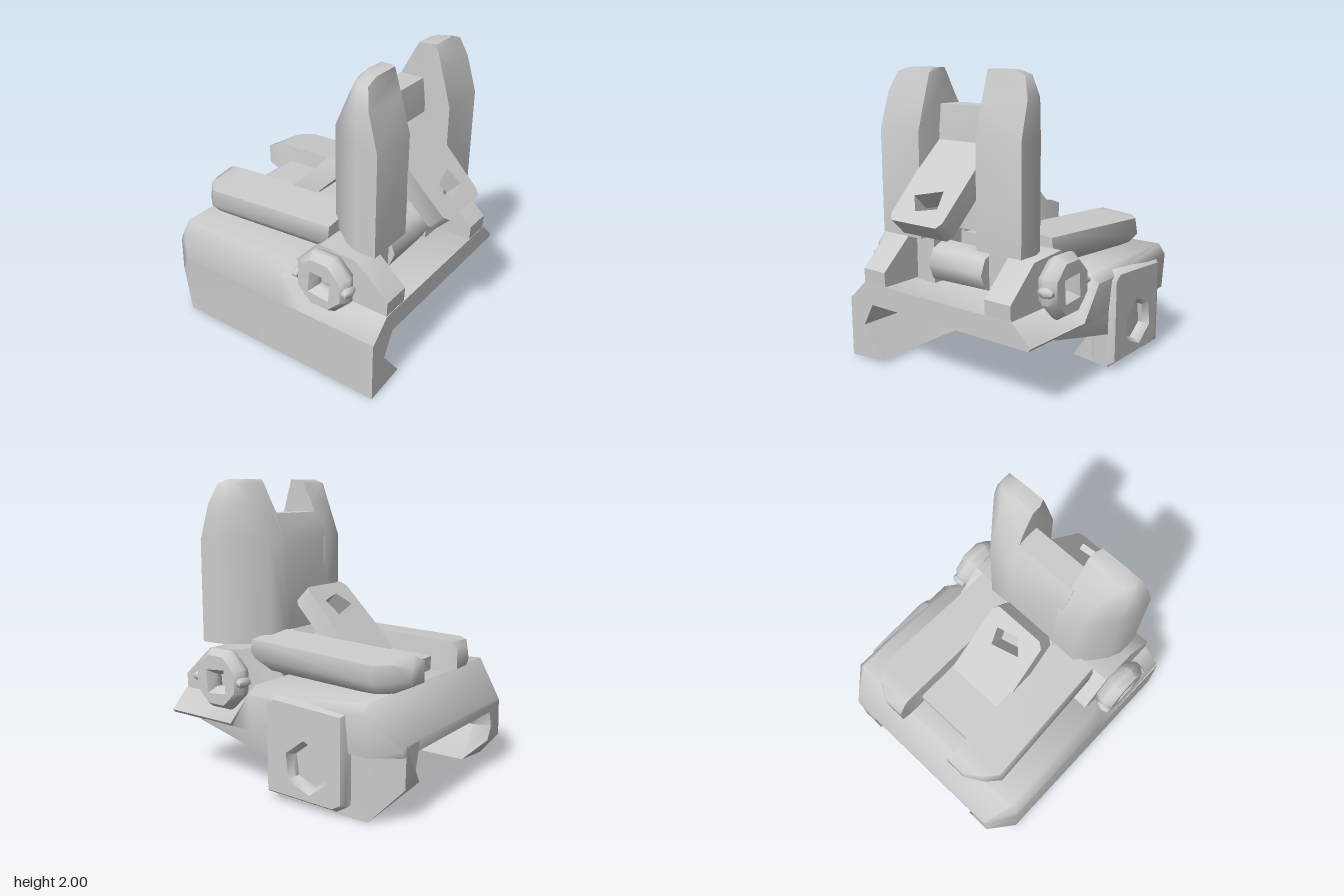
import * as THREE from 'three';
import { toCreasedNormals } from 'three/addons/utils/BufferGeometryUtils.js';

const material = new THREE.MeshStandardMaterial({ color: 0xcccccc, side: THREE.DoubleSide });

function addPart(parent, name, geometry, crease = 0.8) {
  const mesh = new THREE.Mesh(toCreasedNormals(geometry, crease), material);
  mesh.name = name;
  parent.add(mesh);
  return mesh;
}

// Skin a row of matching cross-sections: [[t, [[a, b], ...]], ...]
// axis 'x': a = z, b = y.   axis 'y': a = x, b = z.
function loft(sections, axis) {
  const n = sections[0][1].length, pos = [], index = [];
  for (const [t, ring] of sections)
    for (const [a, b] of ring) pos.push(...(axis === 'x' ? [t, b, a] : [a, t, b]));
  for (let s = 0; s < sections.length - 1; s++)
    for (let i = 0; i < n; i++) {
      const a = s * n + i, b = s * n + (i + 1) % n;
      index.push(a, b, b + n, a, b + n, a + n);
    }
  // End caps, wound to agree with the sides
  const area = (r) => THREE.ShapeUtils.area(r);
  for (const s of [0, sections.length - 1]) {
    const pts = toVec(sections[s][1]);
    const sideSign = area(pts) > 0;
    for (const [i, j, k] of THREE.ShapeUtils.triangulateShape(pts, [])) {
      const same = (area([pts[i], pts[j], pts[k]]) > 0) === sideSign;
      const keep = same === (s !== 0);
      index.push(s * n + i, s * n + (keep ? j : k), s * n + (keep ? k : j));
    }
  }
  // Turn the whole skin outward if its signed volume is negative
  const v = (i) => new THREE.Vector3().fromArray(pos, i * 3);
  let volume = 0;
  for (let i = 0; i < index.length; i += 3)
    volume += v(index[i]).dot(v(index[i + 1]).cross(v(index[i + 2])));
  if (volume < 0) index.reverse();
  const g = new THREE.BufferGeometry();
  g.setAttribute('position', new THREE.Float32BufferAttribute(pos, 3));
  g.setIndex(index);
  return g.toNonIndexed();
}

const toVec = (pts) => pts.map(([x, y]) => new THREE.Vector2(x, y));
const polygon = (n, r, cx, cy, turn = 0) => Array.from({ length: n }, (_, i) => {
  const a = turn + i / n * Math.PI * 2;
  return [cx + r * Math.cos(a), cy + r * Math.sin(a)];
});

// Flat outline with an optional hole, extruded with an optional steep bevel
function slab(outline, hole, depth, bevel = 0) {
  const shape = new THREE.Shape(toVec(outline));
  if (hole) shape.holes.push(new THREE.Path(toVec(hole)));
  return new THREE.ExtrudeGeometry(shape, {
    depth, bevelEnabled: bevel > 0, bevelSize: bevel, bevelThickness: bevel * 1.5,
    bevelOffset: -bevel, bevelSegments: 1,
  });
}

const side = (ring, s) => ring.map(([z, y]) => [z * s, y]);
const across = (ring, s) => ring.map(([x, z]) => [x, z * s]);

export function createModel() {
  const model = new THREE.Group();

  // Base deck: rounded nose, full top, low shelf at the hinge end
  const deck = (top, wTop, mid, wMid) => [
    [-wTop * 0.97, top], [-wMid * 0.97, mid], [-wMid * 0.95, 0.41],
    [wMid, 0.41], [wMid, mid], [wTop, top]];
  addPart(model, 'baseDeck', loft([
    [-0.97, deck(0.48, 0.66, 0.45, 0.67)],
    [-0.78, deck(0.73, 0.75, 0.66, 0.8)],
    [0.1, deck(0.7, 0.73, 0.65, 0.8)],
    [0.26, deck(0.56, 0.66, 0.43, 0.8)],
    [0.81, deck(0.56, 0.65, 0.43, 0.79)]], 'x'), 1.1);

  // Side skirts with an undercut inner face; one runs the full length
  const skirt = [[0.8, 0], [0.8, 0.43], [0.57, 0.43], [0.67, 0.25], [0.5, 0.03]];
  const skirtNose = [[0.68, 0.21], [0.67, 0.47], [0.5, 0.47], [0.55, 0.3], [0.5, 0.21]];
  for (const [s, end, name] of [[1, 0.81, 'longSkirt'], [-0.91, -0.1, 'shortSkirt']])
    addPart(model, name, loft([
      [-0.97, side(skirtNose, s)], [-0.78, side(skirt, s)], [end, side(skirt, s)]], 'x'), 1);
  // Wedge that fades the short skirt out towards the hinge
  addPart(model, 'skirtWedge', loft([
    [-0.1, [[-0.76, 0.43], [-0.5, 0.43], [-0.62, 0.25], [-0.76, 0.25]]],
    [0.55, [[-0.76, 0.43], [-0.6, 0.43], [-0.62, 0.4], [-0.75, 0.4]]]], 'x'));

  // Side block with a six-sided socket
  const socket = addPart(model, 'socketBlock', slab(
    [[-0.66, 0.08], [-0.58, 0.03], [-0.05, 0.04], [-0.05, 0.64], [-0.12, 0.69], [-0.66, 0.66]],
    polygon(6, 0.14, -0.38, 0.27, 0.4), 0.1, 0.027), 0.9);
  socket.position.z = -0.76;

  // Hinge cheeks, knobs, nubs and axle ends
  const cheek = [[0.1, 0.7], [0.26, 0.43], [0.8, 0.41], [0.81, 0.66], [0.58, 0.87], [0.3, 0.89]];
  for (const s of [1, -1]) {
    const hinge = new THREE.Group();
    hinge.name = s > 0 ? 'hingeLeft' : 'hingeRight';
    model.add(hinge);
    addPart(hinge, 'cheek', slab(cheek, null, 0.2)).position.z = s > 0 ? 0.45 : -0.62;
    const knob = addPart(hinge, 'knob', slab(
      polygon(8, 0.215, 0.39, 0.7, Math.PI / 8), polygon(4, 0.06, 0.39, 0.69, 0.7), 0.03, 0.037), 0.9);
    knob.position.z = s > 0 ? 0.705 : -0.715;
    for (const x of [0.2, 0.58]) {
      const nub = addPart(hinge, 'nub', new THREE.SphereGeometry(0.037, 6, 5).scale(1, 1, 1.7), 1.2);
      nub.position.set(x, 0.7, s > 0 ? 0.74 : -0.71);
    }
    const axle = addPart(hinge, 'axle', new THREE.CylinderGeometry(0.07, 0.07, 0.4, 8).rotateX(Math.PI / 2));
    axle.position.set(0.39, 0.7, s * 0.36);
    addPart(hinge, 'knuckle', new THREE.BoxGeometry(0.3, 0.4, 0.16)).position.set(0.4, 0.77, s * 0.32);
  }
  const barrel = addPart(model, 'barrel', new THREE.CylinderGeometry(0.15, 0.14, 0.45, 8).rotateX(Math.PI / 2), 0.9);
  barrel.position.set(0.45, 0.71, 0.02);

  // Lying jaw: two tapered prongs joined by a web
  const lying = [[0.22, 0.72], [0.52, 0.72], [0.59, 0.8], [0.57, 0.91], [0.24, 0.94]];
  const lyingRoot = [[0.2, 0.75], [0.48, 0.75], [0.55, 0.83], [0.53, 0.95], [0.22, 0.98]];
  const lyingNeck = [[0.22, 0.73], [0.46, 0.73], [0.51, 0.8], [0.49, 0.91], [0.24, 0.93]];
  const lyingTip = [[0.22, 0.76], [0.36, 0.76], [0.39, 0.8], [0.37, 0.88], [0.22, 0.9]];
  for (const s of [1, -1])
    addPart(model, 'lyingProng', loft([
      [-0.86, side(lyingTip, s)], [-0.79, side(lyingNeck, s)],
      [-0.7, side(lying, s)], [0.28, side(lyingRoot, s)]], 'x'), 1.2);
  addPart(model, 'lyingWeb', loft([
    [-0.66, [[-0.24, 0.72], [0.24, 0.72], [0.24, 0.82], [-0.24, 0.82]]],
    [0.28, [[-0.24, 0.76], [0.24, 0.76], [0.24, 0.88], [-0.24, 0.88]]]], 'x'));

  // Standing jaw: the same form, upright, with a chisel top
  const upright = [[0.23, 0.2], [0.23, 0.39], [0.43, 0.55], [0.52, 0.59], [0.67, 0.59], [0.67, 0.24], [0.5, 0.22]];
  const neck = [[0.35, 0.22], [0.35, 0.42], [0.44, 0.55], [0.5, 0.58], [0.6, 0.58], [0.6, 0.24], [0.5, 0.22]];
  const crown = [[0.42, 0.22], [0.42, 0.42], [0.45, 0.5], [0.5, 0.53], [0.56, 0.53], [0.56, 0.24], [0.5, 0.22]];
  const tip = [[0.44, 0.22], [0.44, 0.36], [0.46, 0.41], [0.5, 0.43], [0.55, 0.43], [0.55, 0.24], [0.5, 0.22]];
  for (const s of [1, -1])
    addPart(model, 'uprightProng', loft([
      [0.9, across(upright, s)], [1.6, across(upright, s)], [1.84, across(neck, s)],
      [1.97, across(crown, s)], [2, across(tip, s)]], 'y'), 1.2);
  const web = (back, front) => [[back, -0.24], [back, 0.24], [front, 0.24], [front, -0.24]];
  addPart(model, 'uprightWeb', loft([
    [0.97, web(0.23, 0.5)], [1.6, web(0.23, 0.5)], [1.77, web(0.31, 0.48)]], 'y'));

  // Slanted tongues, each with a small opening near the free end
  const tongue = [[0, -0.22], [0.62, -0.2], [0.66, -0.17], [0.66, 0.2], [0.62, 0.24], [0, 0.25]];
  const opening = [[0.4, -0.07], [0.53, -0.1], [0.57, 0.06], [0.46, 0.14]];
  for (const [name, x, y, dy] of [['lyingTongue', -0.39, 0.81, 1], ['uprightTongue', 0.49, 1.55, -1]]) {
    const along = new THREE.Vector3(1, dy, 0).normalize();
    const wide = new THREE.Vector3(0, 0, 1);
    const m = new THREE.Matrix4().makeBasis(along, wide, along.clone().cross(wide)).setPosition(x, y, 0);
    addPart(model, name, slab(tongue, opening, 0.14).applyMatrix4(m));
  }
  return model;
}
